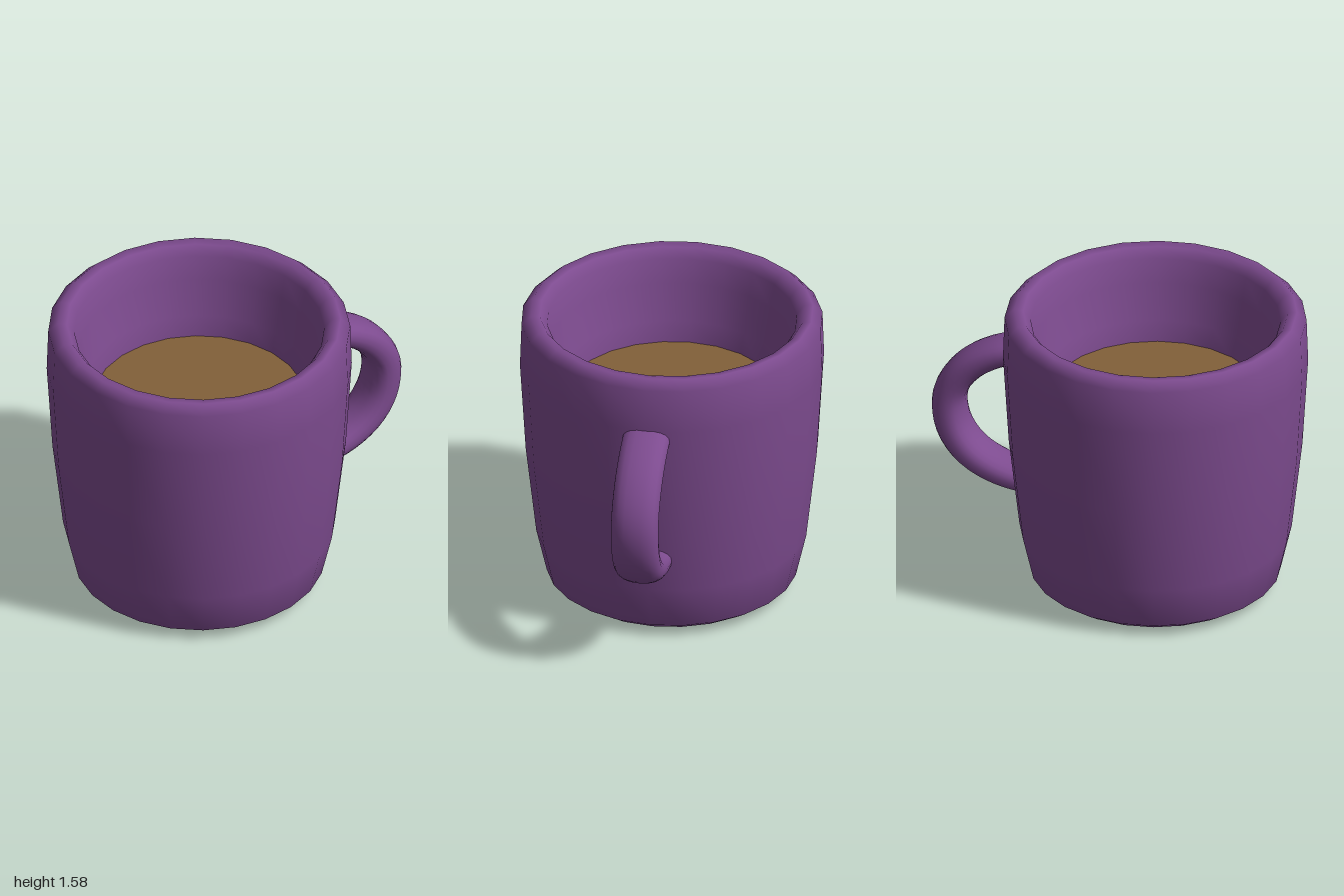
import * as THREE from 'three';

const CUP_X = -0.205;
const SIDES = 24;

// Flattened tube swept along a planar curve, thicker in the middle than at its ends
function sweptHandle(curve, steps, sides, halfWidth, endHalf, midHalf) {
  const positions = [], index = [];
  const soft = (v) => Math.sign(v) * Math.pow(Math.abs(v), 0.85);
  for (let i = 0; i <= steps; i++) {
    const u = i / steps;
    const p = curve.getPointAt(u), t = curve.getTangentAt(u);
    const half = endHalf + (midHalf - endHalf) * Math.sin(Math.PI * u);
    for (let j = 0; j < sides; j++) {
      const a = (j / sides) * Math.PI * 2;
      const out = soft(Math.cos(a)) * half;
      positions.push(p.x - t.y * out, p.y + t.x * out, soft(Math.sin(a)) * halfWidth);
      if (i < steps) {
        const k = (j + 1) % sides;
        const a0 = i * sides + j, b0 = i * sides + k;
        index.push(a0, b0, a0 + sides, b0, b0 + sides, a0 + sides);
      }
    }
  }
  const geometry = new THREE.BufferGeometry();
  geometry.setAttribute('position', new THREE.Float32BufferAttribute(positions, 3));
  geometry.setIndex(index);
  geometry.computeVertexNormals();
  return geometry;
}

export function createModel() {
  const group = new THREE.Group();
  group.name = 'mug';
  const glaze = new THREE.MeshStandardMaterial({ color: 0x7d4b8f });
  glaze.name = 'purple glaze';
  const coffee = new THREE.MeshStandardMaterial({ color: 0x826039 });
  coffee.name = 'coffee brown';

  // Cup: underside, outer wall, rounded rim, then inner wall down to the floor
  const profile = [
    [0, 0.003], [0.44, 0.008], [0.58, 0.02], [0.655, 0.07], [0.71, 0.31],
    [0.765, 0.8], [0.795, 1.3], [0.787, 1.54], [0.737, 1.587], [0.69, 1.58],
    [0.652, 1.53], [0.625, 1.4], [0.58, 1.2], [0.55, 1.08], [0.5, 0.4],
    [0.42, 0.2], [0, 0.18],
  ].map(([r, y]) => new THREE.Vector2(r, y));
  const cup = new THREE.Mesh(new THREE.LatheGeometry(profile, SIDES), glaze);
  cup.name = 'cup';
  cup.position.x = CUP_X;
  group.add(cup);

  // Drink surface
  const drink = new THREE.Mesh(new THREE.CircleGeometry(0.552, SIDES), coffee);
  drink.name = 'drink';
  drink.rotation.x = -Math.PI / 2;
  drink.position.set(CUP_X, 1.09, 0);
  group.add(drink);

  // Handle: both ends are sunk into the cup wall
  const path = [
    [0.5, 1.25], [0.585, 1.235], [0.685, 1.193], [0.785, 1.125], [0.86, 1.04],
    [0.9, 0.96], [0.912, 0.875], [0.89, 0.75], [0.83, 0.647], [0.745, 0.573],
    [0.63, 0.52], [0.52, 0.494], [0.45, 0.488],
  ].map(([x, y]) => new THREE.Vector3(x, y, 0));
  const handle = new THREE.Mesh(
    sweptHandle(new THREE.CatmullRomCurve3(path), 28, 20, 0.125, 0.066, 0.087), glaze);
  handle.name = 'handle';
  group.add(handle);

  return group;
}
